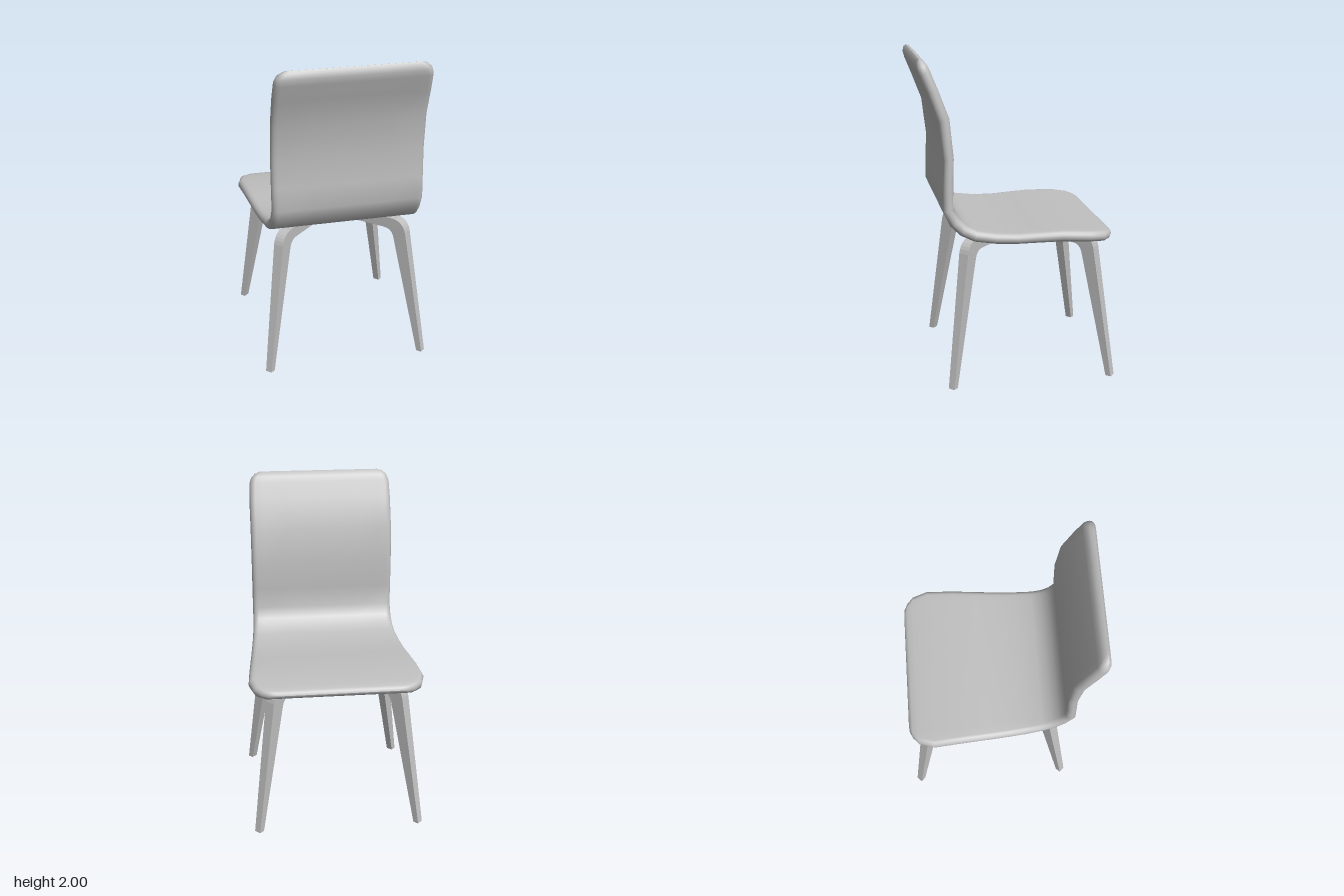
import * as THREE from 'three';

// Shell stations from seat lip to backrest top: z, y, half width, half thickness
const STATIONS = [
  [-0.579, 0.913, 0.385, 0], [-0.574, 0.913, 0.42, 0.016], [-0.555, 0.913, 0.46, 0.027],
  [-0.515, 0.916, 0.503, 0.033], [-0.42, 0.926, 0.532, 0.034], [-0.25, 0.934, 0.52, 0.034],
  [-0.1, 0.93, 0.508, 0.033], [0.02, 0.926, 0.498, 0.032], [0.15, 0.932, 0.487, 0.033],
  [0.27, 0.95, 0.476, 0.034], [0.34, 0.985, 0.469, 0.035], [0.39, 1.035, 0.465, 0.035],
  [0.432, 1.115, 0.464, 0.032], [0.428, 1.25, 0.464, 0.031], [0.423, 1.42, 0.464, 0.031],
  [0.447, 1.65, 0.464, 0.034], [0.51, 1.82, 0.464, 0.034], [0.552, 1.925, 0.46, 0.034],
  [0.566, 1.962, 0.447, 0.031], [0.574, 1.988, 0.42, 0.018], [0.577, 1.999, 0.385, 0],
];

// One rounded slab cross-section, counter-clockwise
function slabRing(w, t) {
  const pts = [], steps = 8, r = 0.035;
  for (const side of [1, -1]) {
    for (let k = 0; k <= steps; k++) {
      const a = -Math.PI / 2 + (Math.PI * k) / steps;
      pts.push([side * (w - r + r * Math.cos(a)), side * t * Math.sin(a)]);
    }
    for (const f of [0.9, 0.5, 0, -0.5, -0.9]) pts.push([side * f * (w - r), side * t]);
  }
  return pts;
}

function shellGeometry() {
  const pos = [], index = [];
  let n = 0;
  STATIONS.forEach(([z, y, w, t], i) => {
    const a = STATIONS[Math.max(i - 1, 0)], b = STATIONS[Math.min(i + 1, STATIONS.length - 1)];
    const dir = new THREE.Vector2(b[0] - a[0], b[1] - a[1]).normalize();
    const ring = slabRing(w, t);
    n = ring.length;
    for (const [x, h] of ring) pos.push(x, y + h * dir.x, z - h * dir.y);
  });
  for (let i = 0; i < STATIONS.length - 1; i++) {
    for (let j = 0; j < n; j++) {
      const a = i * n + j, b = i * n + ((j + 1) % n);
      index.push(a, b, b + n, a, b + n, a + n);
    }
  }
  const g = new THREE.BufferGeometry();
  g.setAttribute('position', new THREE.Float32BufferAttribute(pos, 3));
  g.setIndex(index);
  g.computeVertexNormals();
  return g;
}

// Bent frame: two tapered legs joined by a flat beam, thinner toward the feet
function frameGeometry() {
  const s = new THREE.Shape();
  s.moveTo(0.685, 0);
  s.lineTo(0.721, 0);
  s.lineTo(0.58, 0.83);
  s.quadraticCurveTo(0.562, 0.908, 0.48, 0.908);
  s.lineTo(-0.48, 0.908);
  s.quadraticCurveTo(-0.562, 0.908, -0.58, 0.83);
  s.lineTo(-0.721, 0);
  s.lineTo(-0.685, 0);
  s.lineTo(-0.5, 0.78);
  s.quadraticCurveTo(-0.488, 0.838, -0.43, 0.838);
  s.lineTo(0.43, 0.838);
  s.quadraticCurveTo(0.488, 0.838, 0.5, 0.78);
  s.closePath();
  const g = new THREE.ExtrudeGeometry(s, { depth: 1, bevelEnabled: false, curveSegments: 6 });
  g.translate(0, 0, -0.5);
  const p = g.attributes.position;
  for (let i = 0; i < p.count; i++) {
    const width = 0.042 + 0.023 * Math.min(p.getY(i) / 0.83, 1);
    p.setZ(i, p.getZ(i) * width);
  }
  g.computeVertexNormals();
  return g;
}

export function createModel() {
  const grey = new THREE.MeshStandardMaterial({ color: 0xc0c0c0 });
  grey.name = 'light grey';
  const model = new THREE.Group();
  model.name = 'chair';

  const shell = new THREE.Mesh(shellGeometry(), grey);
  shell.name = 'seatShell';
  model.add(shell);

  // Two frames crossing diagonally under the seat
  const legs = new THREE.Group();
  legs.name = 'legs';
  const frame = frameGeometry();
  for (const side of [1, -1]) {
    const mesh = new THREE.Mesh(frame, grey);
    mesh.name = side > 0 ? 'legFrameA' : 'legFrameB';
    mesh.rotation.y = (side * Math.PI) / 4;
    legs.add(mesh);
  }
  legs.position.z = -0.072;
  model.add(legs);
  return model;
}
